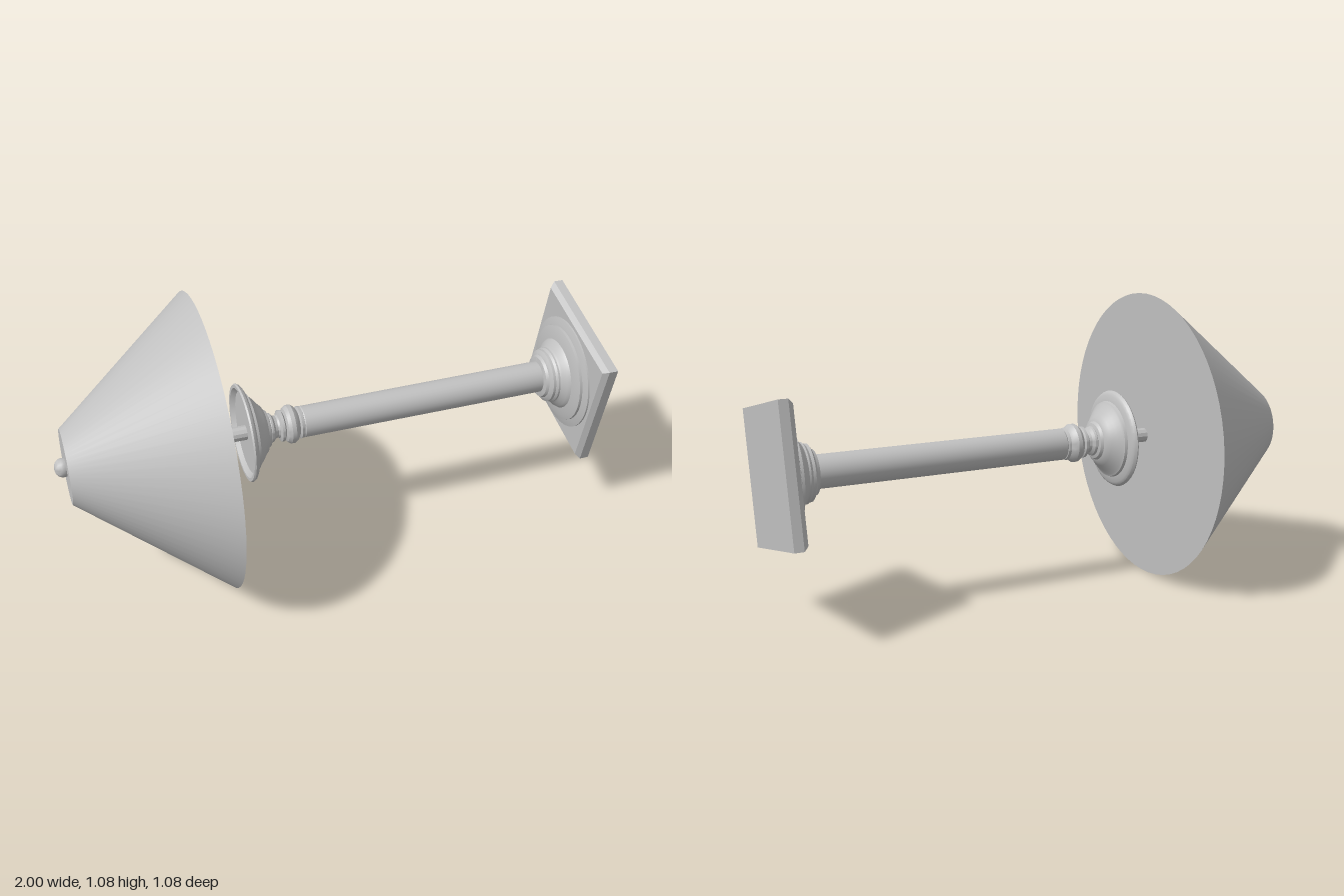
import * as THREE from 'three';
import { toCreasedNormals } from 'three/addons/utils/BufferGeometryUtils.js';

export function createModel() {
  const grey = new THREE.MeshStandardMaterial({ color: 0xc0c0c0 });
  grey.name = 'plain grey';

  const lamp = new THREE.Group();
  lamp.name = 'tableLamp';

  const add = (name, geometry, parent = lamp) => {
    const mesh = new THREE.Mesh(geometry, grey);
    mesh.name = name;
    parent.add(mesh);
    return mesh;
  };

  // Turned part from [radius, height] pairs, listed from the foot upwards
  const turned = (name, profile, segments = 40, crease = 0.5) => {
    const points = profile.map(([r, h]) => new THREE.Vector2(r, h));
    return add(name, toCreasedNormals(new THREE.LatheGeometry(points, segments), crease));
  };

  // Square foot: a plate with a bevelled upper edge
  const foot = new THREE.Group();
  foot.name = 'squareFoot';
  foot.rotation.y = -0.2375;
  lamp.add(foot);
  const slab = (name, low, high, from, to) => {
    const geometry = new THREE.CylinderGeometry(high * Math.SQRT1_2, low * Math.SQRT1_2, to - from, 4, 1);
    geometry.rotateY(Math.PI / 4);
    geometry.translate(0, (from + to) / 2, 0);
    add(name, toCreasedNormals(geometry, 0.3), foot);
  };
  slab('footPlate', 0.489, 0.489, 0, 0.034);
  slab('footBevel', 0.489, 0.458, 0.034, 0.052);

  // Stepped round mouldings above the foot
  turned('baseMoulding', [
    [0.215, 0.05], [0.215, 0.058], [0.195, 0.064], [0.185, 0.066], [0.185, 0.076],
    [0.165, 0.082], [0.135, 0.086], [0.127, 0.098], [0.112, 0.108], [0.106, 0.115],
    [0.106, 0.122], [0.1, 0.13], [0.1, 0.14], [0.09, 0.147], [0.083, 0.15],
    [0.078, 0.16], [0.058, 0.163]
  ]);

  // Column
  turned('column', [[0.059, 0.14], [0.058, 1.1], [0.05, 1.11], [0, 1.11]], 32);

  // Rings between column and cup
  turned('collarRings', [
    [0.045, 1.1], [0.058, 1.105], [0.06, 1.115], [0.05, 1.12], [0.062, 1.128],
    [0.071, 1.14], [0.071, 1.155], [0.062, 1.167], [0.048, 1.172], [0.058, 1.178],
    [0.058, 1.188], [0.043, 1.193], [0.04, 1.2], [0.043, 1.21], [0.053, 1.218],
    [0.055, 1.226], [0.05, 1.235]
  ]);

  // Flared cup with a rolled rim and a flat top
  turned('cup', [
    [0.045, 1.225], [0.066, 1.232], [0.072, 1.242], [0.085, 1.247], [0.096, 1.258],
    [0.115, 1.272], [0.132, 1.288], [0.14, 1.292], [0.143, 1.302], [0.165, 1.306],
    [0.175, 1.312], [0.181, 1.322], [0.177, 1.328], [0.165, 1.328],
    [0.15, 1.312], [0.05, 1.312], [0, 1.312]
  ]);

  // Stem through the shade
  turned('stem', [[0.027, 1.3], [0.027, 1.97]], 12);

  // Conical shade, closed at both ends
  turned('shade', [[0, 1.456], [0.5375, 1.456], [0.135, 1.96], [0, 1.96]], 64, 0.3);

  // Finial knob
  turned('finial', [
    [0.031, 1.955], [0.034, 1.965], [0.034, 1.975], [0.03, 1.986],
    [0.02, 1.995], [0.01, 1.999], [0, 2]
  ], 20, 0.7);

  // The lamp lies on its side, foot towards +x
  lamp.rotation.z = Math.PI / 2;
  lamp.position.set(1, 0.5375, 0);

  const model = new THREE.Group();
  model.name = 'lyingLamp';
  model.add(lamp);
  return model;
}
